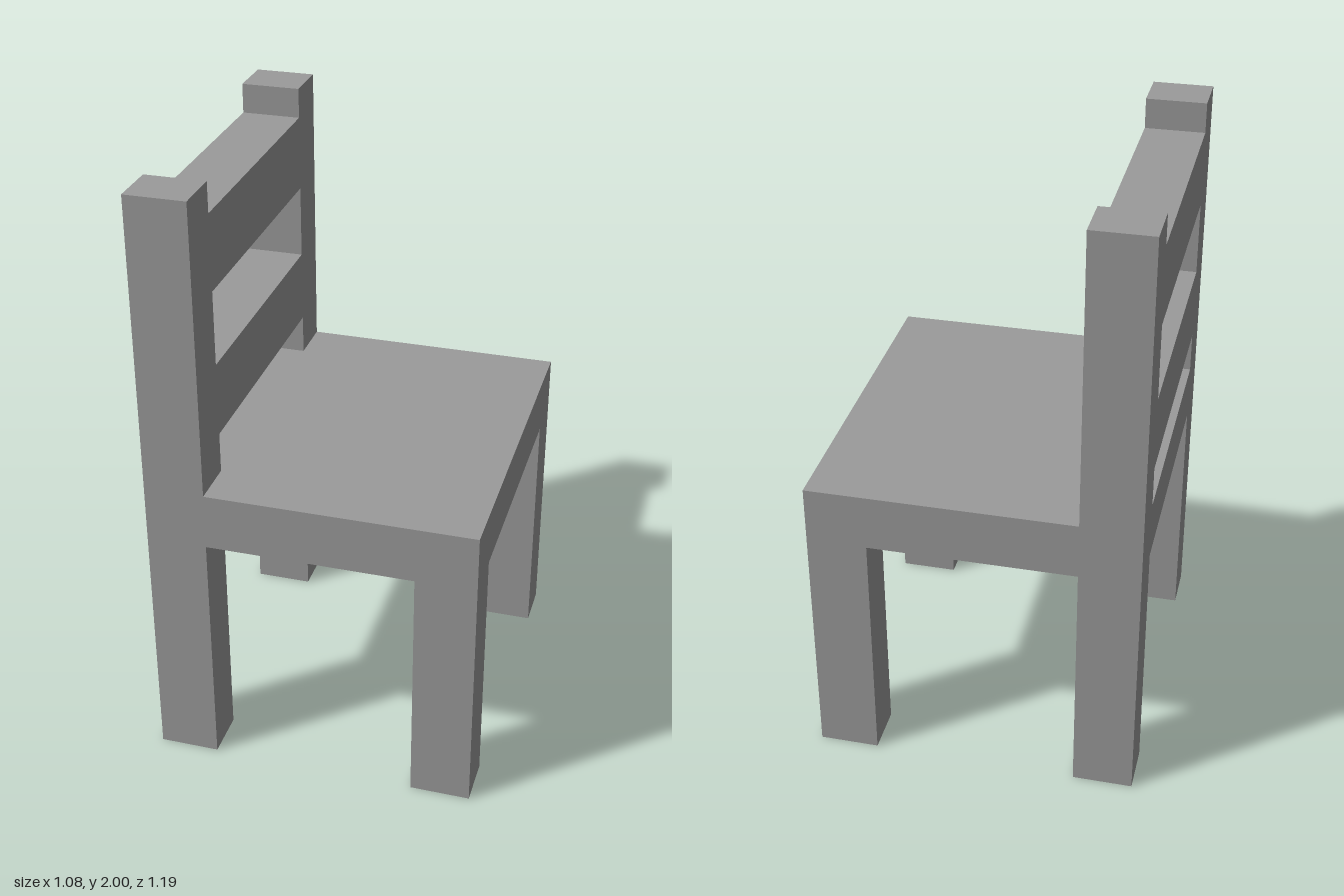
import * as THREE from 'three';

const material = new THREE.MeshStandardMaterial({ color: 0x9b9b9b, flatShading: true });

// Box given by its extents on each axis
function box(name, [x0, x1], [y0, y1], [z0, z1]) {
  const mesh = new THREE.Mesh(new THREE.BoxGeometry(x1 - x0, y1 - y0, z1 - z0), material);
  mesh.position.set((x0 + x1) / 2, (y0 + y1) / 2, (z0 + z1) / 2);
  mesh.name = name;
  return mesh;
}

export function createModel() {
  const chair = new THREE.Group();
  chair.name = 'chair';

  const halfX = 0.538, halfZ = 0.595, innerX = 0.34, innerZ = 0.433;
  const seatBottom = 0.832, seatTop = 1.02, height = 2;
  const backX = [-halfX, -innerX], frontX = [innerX, halfX];

  // Seat slab; the backrest stands on the -x edge
  chair.add(box('seat', [-halfX, halfX], [seatBottom, seatTop], [-halfZ, halfZ]));

  // Legs and back posts, mirrored across z
  for (const z of [[innerZ, halfZ], [-halfZ, -innerZ]]) {
    chair.add(
      box('seatLeg', frontX, [0, seatBottom], z),
      box('backLeg', backX, [0, seatBottom], z),
      box('backPost', backX, [seatTop, height], z),
    );
  }

  // Backrest slats, flush with the posts
  for (const y of [[1.155, 1.4], [1.648, 1.9]]) {
    chair.add(box('backSlat', backX, y, [-innerZ, innerZ]));
  }

  return chair;
}
